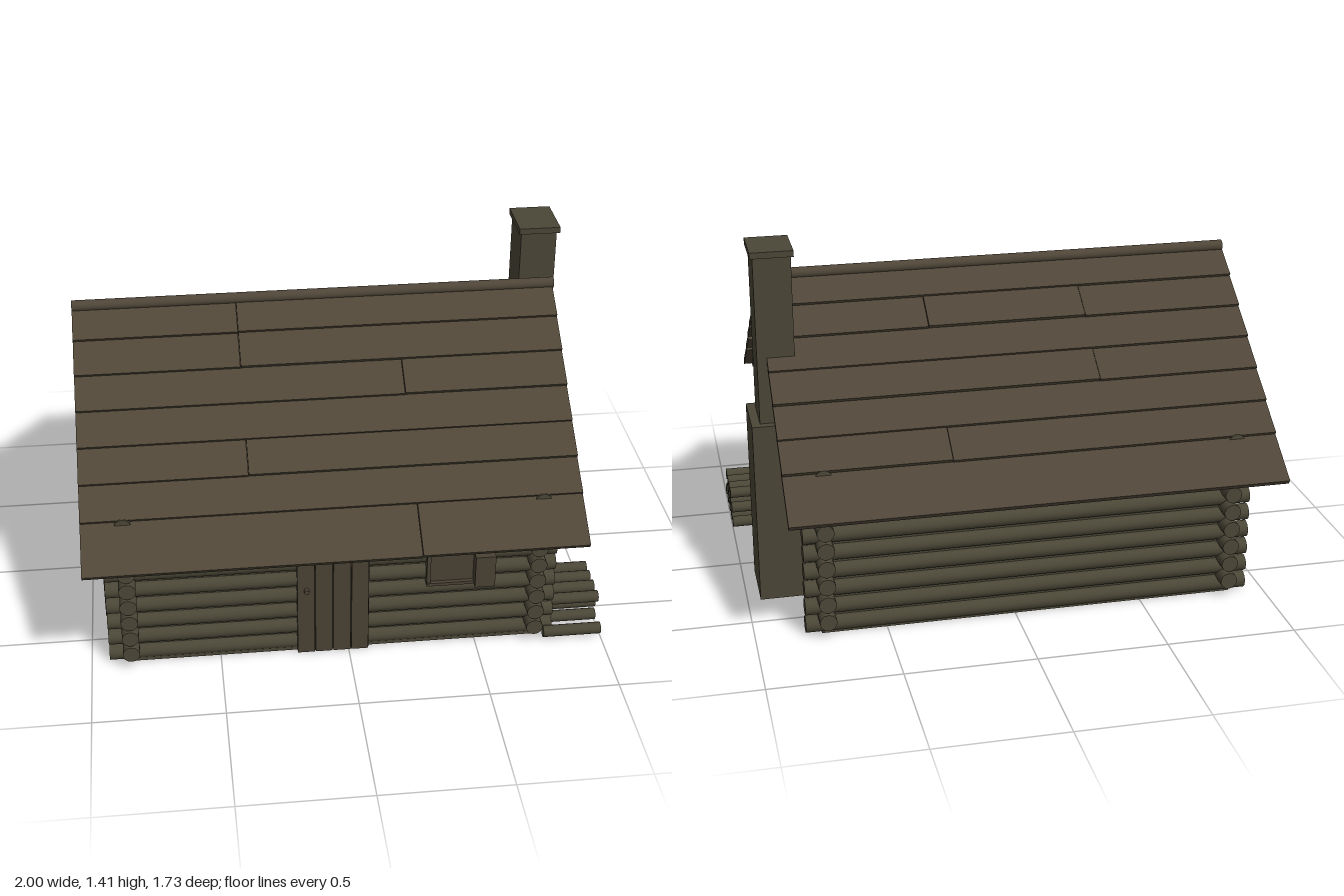
import * as THREE from 'three';

const mat = (name, color) => {
  const m = new THREE.MeshStandardMaterial({ color });
  m.name = name;
  return m;
};

export function createModel() {
  const model = new THREE.Group();
  model.name = 'logCabin';
  const logWood = mat('log wood', 0x4b4737);
  const roofWood = mat('roof wood', 0x4f4638);
  const stone = mat('chimney stone', 0x4a4637);
  const plankWood = mat('plank wood', 0x494234);
  const gapDark = mat('dark gap', 0x2c281e);

  const add = (name, geo, material, parent = model) => {
    const mesh = new THREE.Mesh(geo, material);
    mesh.name = name;
    parent.add(mesh);
    return mesh;
  };
  const group = (name) => {
    const g = new THREE.Group();
    g.name = name;
    model.add(g);
    return g;
  };
  // Box given by its two extreme corners
  const box = (name, a, b, material, parent) => {
    const m = add(name, new THREE.BoxGeometry(b[0] - a[0], b[1] - a[1], b[2] - a[2]), material, parent);
    m.position.set((a[0] + b[0]) / 2, (a[1] + b[1]) / 2, (a[2] + b[2]) / 2);
    return m;
  };
  const logX = (name, x0, x1, y, z, r, material, parent) => {
    const m = add(name, new THREE.CylinderGeometry(r, r, x1 - x0, 14).rotateZ(Math.PI / 2), material, parent);
    m.position.set((x0 + x1) / 2, y, z);
  };
  const logZ = (name, x, y, z0, z1, r, material, parent) => {
    const m = add(name, new THREE.CylinderGeometry(r, r, z1 - z0, 14).rotateX(Math.PI / 2), material, parent);
    m.position.set(x, y, (z0 + z1) / 2);
  };

  // Floor and the dark core seen between the logs
  box('floor', [-0.865, 0, -0.64], [0.75, 0.02, 0.65], logWood);
  box('wallCore', [-0.85, 0.02, -0.625], [0.735, 0.65, 0.63], logWood);

  // Interlocking log walls
  const walls = group('logWalls');
  const pitch = 0.0737;
  for (let i = 0; i < 9; i++) {
    for (const z of [-0.62, 0.625]) logX('longLog', -0.93, 0.81, 0.035 + pitch * i, z, 0.033, logWood, walls);
    for (const x of [-0.845, 0.73]) logZ('sideLog', x, 0.072 + pitch * i, -0.7, 0.705, 0.033, logWood, walls);
  }

  // Gable prism
  const tri = new THREE.Shape([[-0.67, 0.64], [0.67, 0.64], [0, 1.195]].map(p => new THREE.Vector2(...p)));
  const gable = add('gables', new THREE.ExtrudeGeometry(tri, { depth: 1.6, bevelEnabled: false }), logWood);
  gable.rotation.y = Math.PI / 2;
  gable.position.x = -0.855;

  // Sloped board whose top runs from (z0, y0) down to (z1, y1); s mirrors it to the back
  const slope = (name, x0, x1, z0, y0, z1, y1, t, s, parent) => {
    const len = Math.hypot(z1 - z0, y1 - y0), a = Math.atan2(y0 - y1, z1 - z0);
    const m = add(name, new THREE.BoxGeometry(x1 - x0, t, len), roofWood, parent);
    m.position.set((x0 + x1) / 2, (y0 + y1) / 2 - Math.cos(a) * t / 2, s * ((z0 + z1) / 2 - Math.sin(a) * t / 2));
    m.rotation.x = s * a;
  };

  // Overlapping roof boards with staggered joints
  const roof = group('roof');
  const rows = [0, 0.125, 0.24, 0.355, 0.47, 0.585, 0.7, 0.865];
  const topY = z => 1.24 - 0.785 * z;
  const joints = {
    1: [[-0.37], [-0.37], [0.25], [], [-0.37], [], [0.25]],
    '-1': [[], [-0.37, 0.25], [], [-0.37], [], [0.25], []],
  };
  for (const s of [1, -1]) {
    slope('roofDeck', -0.96, 0.85, 0, 1.205, 0.79, 0.575, 0.02, s, roof);
    for (let i = 0; i < 7; i++) {
      const cuts = [-1, ...joints[s][i], 0.88];
      const z0 = Math.max(0, rows[i] - 0.03), z1 = rows[i + 1];
      for (let j = 0; j < cuts.length - 1; j++) {
        const lift = j % 2 ? 0.003 : 0;
        slope('roofBoard', cuts[j] + (j ? 0.002 : 0), cuts[j + 1], z0, topY(z0) - 0.018 + lift,
          z1, topY(z1) + lift, 0.02, s, roof);
      }
    }
  }
  logX('ridgePole', -1, 0.885, 1.225, 0, 0.022, roofWood, roof);

  // Stepped chimney
  const chimney = group('chimney');
  box('chimneyBase', [0.73, 0.005, -0.335], [0.95, 0.733, -0.082], stone, chimney);
  box('chimneyStack', [0.775, 0.7, -0.303], [0.917, 1.388, -0.12], stone, chimney);
  box('chimneyCap', [0.765, 1.386, -0.314], [0.928, 1.41, -0.108], stone, chimney);

  // Plank door with knob
  const door = group('door');
  box('doorBacking', [-0.198, 0.003, 0.62], [0.078, 0.58, 0.664], gapDark, door);
  for (let i = 0; i < 4; i++) {
    const x = -0.2 + i * 0.07;
    box('doorPlank', [x, 0.002, 0.63], [x + 0.066, 0.585, 0.672], plankWood, door);
  }
  logZ('doorKnob', -0.165, 0.3, 0.665, 0.69, 0.01, plankWood, door);

  // Front window with one open shutter
  const front = group('frontWindow');
  box('windowPane', [0.3, 0.295, 0.62], [0.49, 0.435, 0.664], plankWood, front);
  box('windowLintel', [0.285, 0.43, 0.62], [0.5, 0.452, 0.68], plankWood, front);
  box('windowSill', [0.3, 0.285, 0.62], [0.49, 0.298, 0.68], plankWood, front);
  box('windowPost', [0.3, 0.295, 0.62], [0.315, 0.435, 0.675], plankWood, front);
  box('shutter', [0.482, 0.29, 0.66], [0.56, 0.428, 0.712], plankWood, front);

  // Side window between two tall shutters
  const side = group('sideWindow');
  for (const z of [-0.33, 0.23]) box('sideShutter', [-0.94, 0.09, z], [-0.87, 0.43, z + 0.24], plankWood, side);
  box('sidePane', [-0.883, 0.29, -0.09], [-0.85, 0.42, 0.23], gapDark, side);
  for (const y of [0.275, 0.415]) box('sideFrameRail', [-0.895, y, -0.09], [-0.85, y + 0.018, 0.23], plankWood, side);
  for (const z of [-0.09, 0.062, 0.215]) box('sideFramePost', [-0.89, 0.28, z], [-0.85, 0.425, z + 0.016], plankWood, side);

  // Stacked firewood
  const pile = group('firewood');
  const stack = [
    [0.03, [0.68, 0.587, 0.5, 0.41, 0.34]],
    [0.083, [0.573, 0.51, 0.44, 0.37]],
    [0.133, [0.61, 0.54, 0.473, 0.41]],
  ];
  for (const [y, zs] of stack) for (const z of zs) logX('firewoodLog', 0.77, 1, y, z, 0.023, logWood, pile);

  return model;
}
